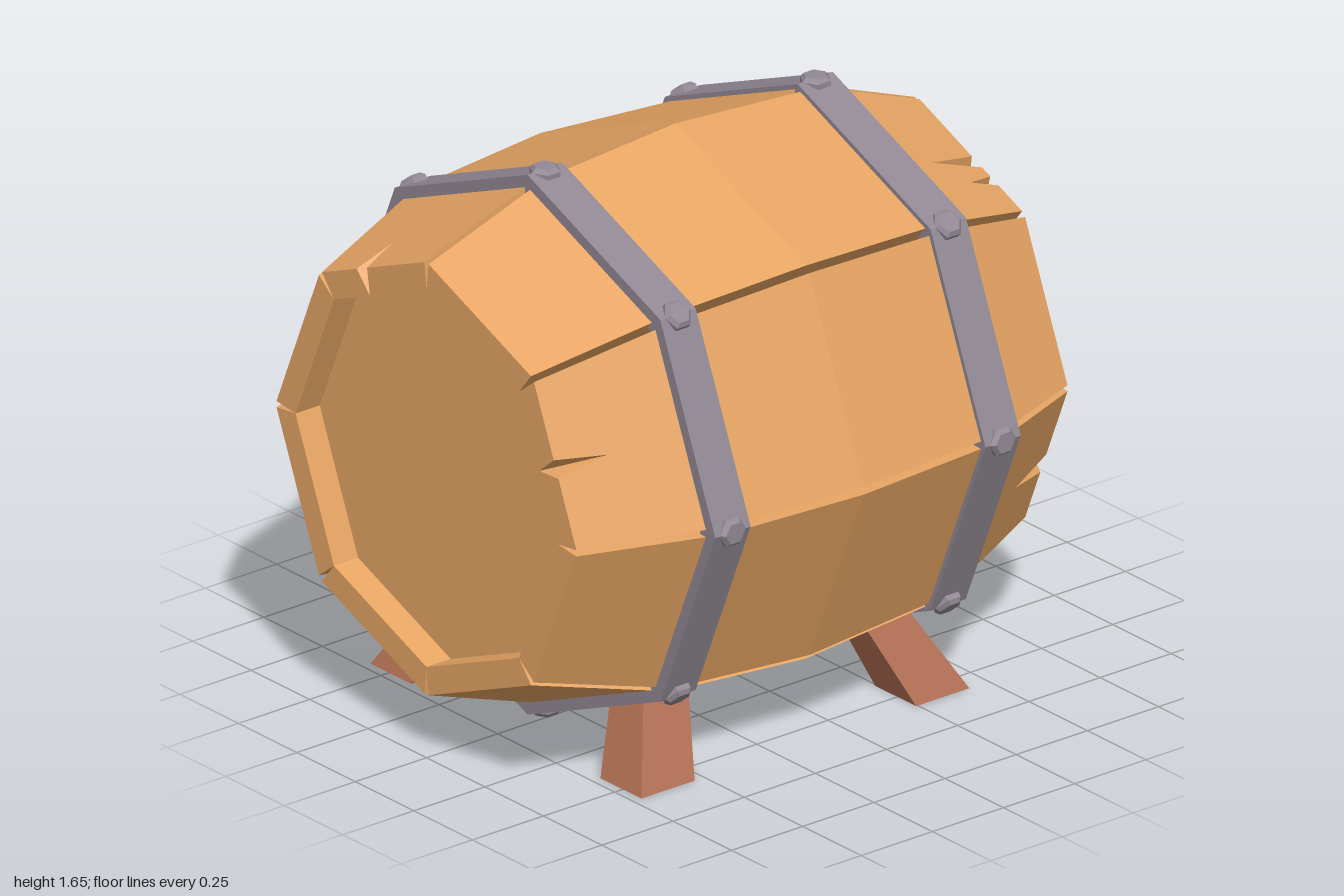
import * as THREE from 'three';

const AXIS_Y = 0.83, SIDES = 8, STEP = (Math.PI * 2) / SIDES;
const INNER = 0.56, GAP = 0.02;

// Bulging side profile: [x, corner radius]
const PROFILE = [[-1, 0.645], [-0.59, 0.786], [-0.135, 0.82], [0.365, 0.784], [0.725, 0.645]];

// Splits in the plank ends: plank number, end (-1 or 1), position across, width, length
const SPLITS = [
  [0, 1, 0.56, 0.1, 0.18], [0, 1, 0.73, 0.08, 0.1],
  [1, -1, 0.52, 0.11, 0.15], [2, 1, 0.57, 0.14, 0.13],
  [6, 1, 0.45, 0.12, 0.13], [7, -1, 0.39, 0.1, 0.12],
];

const flat = (geo) => {
  const g = geo.index ? geo.toNonIndexed() : geo;
  g.computeVertexNormals();
  return g;
};

function radiusAt(x) {
  for (let i = 1; i < PROFILE.length; i++) {
    const [x0, r0] = PROFILE[i - 1], [x1, r1] = PROFILE[i];
    if (x <= x1) return r0 + ((r1 - r0) * (x - x0)) / (x1 - x0);
  }
  return PROFILE[PROFILE.length - 1][1];
}

// One length of plank, bent onto side k of the barrel, with V grooves to its neighbours
function plankPiece(k, x0, x1, splits, end) {
  const pts = [[x0, 0], [x1, 0], [x1, 1], [x0, 1]];
  const cuts = splits.map(([, , t, w, len]) => [1 - t, w / 2, len]).sort((a, b) => a[0] - b[0]);
  const endX = end > 0 ? x1 : x0;
  const notch = cuts.flatMap(([u, h, len]) => [[endX, u - h], [endX - end * len, u], [endX, u + h]]);
  if (end > 0) pts.splice(2, 0, ...notch);
  else pts.push(...notch.reverse());

  const geo = new THREE.ExtrudeGeometry(
    new THREE.Shape(pts.map(([x, u]) => new THREE.Vector2(x, u))),
    { depth: 1, bevelEnabled: false });
  const p = geo.attributes.position;
  const a0 = k * STEP, a1 = a0 + STEP;
  for (let i = 0; i < p.count; i++) {
    let x = p.getX(i), u = p.getY(i);
    const outer = p.getZ(i) > 0.5;
    // splits run out to a point on the inside
    const cut = cuts.find(([c, h]) => Math.abs(u - c) < h + 1e-4);
    if (cut && !outer) {
      x = endX;
      u = cut[0];
    }
    const t = outer ? GAP + (1 - u) * (1 - 2 * GAP) : 1 - u;
    const r = outer ? radiusAt(x) : INNER;
    p.setXYZ(i, x,
      AXIS_Y + r * (Math.cos(a0) * (1 - t) + Math.cos(a1) * t),
      r * (Math.sin(a0) * (1 - t) + Math.sin(a1) * t));
  }
  return flat(geo);
}

const octagon = (r, Type) => new Type(Array.from({ length: SIDES }, (_, i) =>
  new THREE.Vector2(Math.sin(i * STEP) * r, Math.cos(i * STEP) * r)));

const lathe = (pts, sides, start) => new THREE.LatheGeometry(
  pts.map(([r, h]) => new THREE.Vector2(r, h)), sides, start);

export function createModel() {
  const wood = new THREE.MeshStandardMaterial({ color: 0xe6a463 });
  const iron = new THREE.MeshStandardMaterial({ color: 0x918893 });
  const legWood = new THREE.MeshStandardMaterial({ color: 0xb06e52 });
  wood.name = 'barrelWood';
  iron.name = 'iron';
  legWood.name = 'legWood';

  const model = new THREE.Group();
  model.name = 'barrel';
  const add = (parent, name, geo, mat) => {
    const mesh = new THREE.Mesh(geo, mat);
    mesh.name = name;
    parent.add(mesh);
  };

  // Planks
  for (let k = 0; k < SIDES; k++) {
    const plank = new THREE.Group();
    plank.name = 'plank';
    model.add(plank);
    for (let i = 1; i < PROFILE.length; i++) {
      const end = i === 1 ? -1 : i === PROFILE.length - 1 ? 1 : 0;
      const splits = SPLITS.filter((s) => end !== 0 && s[0] === k && s[1] === end);
      add(plank, 'plankPiece', plankPiece(k, PROFILE[i - 1][0], PROFILE[i][0], splits, end), wood);
    }
  }

  // Recessed lids at both ends
  for (const x of [-0.895, 0.62]) {
    const geo = new THREE.CylinderGeometry(0.565, 0.565, 0.04, SIDES);
    geo.rotateZ(-Math.PI / 2).translate(x, AXIS_Y, 0);
    add(model, 'lid', flat(geo), wood);
  }

  // Iron hoops with a low hexagonal bolt on every corner
  for (const x of [-0.583, 0.366]) {
    const hoop = new THREE.Group();
    hoop.name = 'hoop';
    hoop.position.set(x, AXIS_Y, 0);
    model.add(hoop);
    const shape = octagon(0.803, THREE.Shape);
    shape.holes.push(octagon(0.74, THREE.Path));
    const ring = new THREE.ExtrudeGeometry(shape, { depth: 0.124, bevelEnabled: false });
    ring.translate(0, 0, -0.062).rotateY(Math.PI / 2);
    add(hoop, 'hoopBand', ring, iron);
    for (let k = 0; k < SIDES; k++) {
      const bolt = lathe([[0.045, 0.775], [0.045, 0.802], [0.033, 0.814], [0, 0.814]], 6, Math.PI / 2);
      add(hoop, 'bolt', flat(bolt.rotateX(k * STEP)), iron);
    }
  }

  // Splayed legs, tapering up into the barrel
  for (const sx of [-1, 1]) for (const sz of [-1, 1]) {
    const geo = new THREE.BoxGeometry(1, 0.27, 1).translate(0, 0.135, 0);
    const p = geo.attributes.position;
    for (let i = 0; i < p.count; i++) {
      const top = p.getY(i) > 0.1;
      p.setX(i, -0.145 + sx * (top ? 0.365 : 0.4825) + p.getX(i) * (top ? 0.15 : 0.187));
      p.setZ(i, sz * (top ? 0.362 : 0.492) + p.getZ(i) * (top ? 0.125 : 0.175));
    }
    add(model, 'leg', flat(geo), legWood);
  }

  // Tap: spout, handle and drip nib
  const tap = new THREE.Group();
  tap.name = 'tap';
  tap.position.y = 0.565;
  model.add(tap);
  const spout = lathe([[0.104, 0.63], [0.104, 0.67], [0.086, 0.725], [0.068, 0.775],
    [0.066, 0.89], [0.095, 0.95], [0.095, 0.968], [0.075, 1], [0, 1]], 8, Math.PI / 8);
  add(tap, 'spout', flat(spout.rotateZ(-Math.PI / 2)), iron);
  const handle = lathe([[0.049, 0.02], [0.049, 0.128], [0.063, 0.145],
    [0.063, 0.18], [0.044, 0.205], [0, 0.205]], 8, Math.PI / 8);
  add(tap, 'handle', flat(handle.translate(0.835, 0, 0)), iron);
  add(tap, 'dripNib', new THREE.BoxGeometry(0.024, 0.06, 0.022).translate(0.948, -0.075, 0), iron);

  return model;
}
